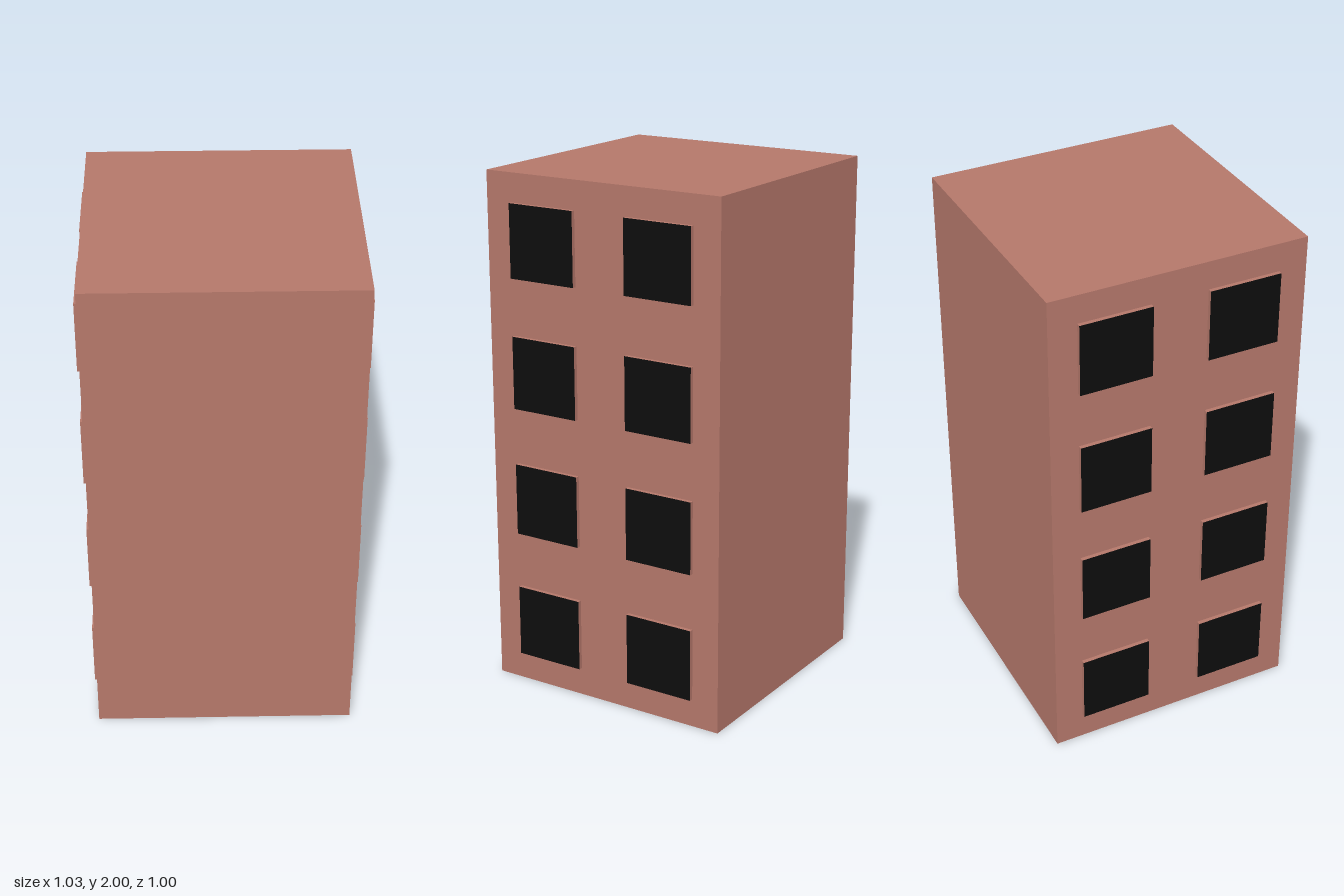
import * as THREE from 'three';

const brick = new THREE.MeshStandardMaterial({ color: 0xb4776a, side: THREE.DoubleSide });
brick.name = 'brick';
const glass = new THREE.MeshStandardMaterial({ color: 0x0d0d0d, side: THREE.DoubleSide });
glass.name = 'dark glass';

const HALF = 0.5, HEIGHT = 2, WIN = 0.14, DEPTH = 0.016;

// Window centres on a side wall: two columns, four floors
const centres = [];
for (let floor = 0; floor < 4; floor++)
  for (const u of [-0.25, 0.25]) centres.push([u, 0.25 + floor * 0.5]);

function rectangle(path, x0, y0, x1, y1) {
  path.moveTo(x0, y0).lineTo(x1, y0).lineTo(x1, y1).lineTo(x0, y1).closePath();
  return path;
}

function addMesh(parent, name, geometry, material, x, y, z) {
  const mesh = new THREE.Mesh(geometry, material);
  mesh.name = name;
  mesh.position.set(x, y, z);
  parent.add(mesh);
  return mesh;
}

// Side wall with openings, built facing +z
function sideWall(name) {
  const side = new THREE.Group();
  side.name = name;

  const shape = rectangle(new THREE.Shape(), -HALF, 0, HALF, HEIGHT);
  for (const [u, y] of centres)
    shape.holes.push(rectangle(new THREE.Path(), u - WIN, y - WIN, u + WIN, y + WIN));
  addMesh(side, 'windowWall', new THREE.ShapeGeometry(shape), brick, 0, 0, HALF);

  // Square open sleeve that carries each pane out from the wall
  const tube = new THREE.CylinderGeometry(WIN * Math.SQRT2, WIN * Math.SQRT2, DEPTH, 4, 1, true);
  tube.rotateY(Math.PI / 4).rotateX(Math.PI / 2);
  const sleeve = tube.toNonIndexed();
  sleeve.computeVertexNormals();
  const pane = new THREE.PlaneGeometry(WIN * 2, WIN * 2);

  for (const [u, y] of centres) {
    addMesh(side, 'windowFrame', sleeve, brick, u, y, HALF + DEPTH / 2);
    addMesh(side, 'windowPane', pane, glass, u, y, HALF + DEPTH);
  }
  return side;
}

export function createModel() {
  const building = new THREE.Group();
  building.name = 'building';

  // Blank front and back walls
  const wall = new THREE.PlaneGeometry(HALF * 2, HEIGHT);
  addMesh(building, 'frontWall', wall, brick, 0, HEIGHT / 2, HALF);
  addMesh(building, 'backWall', wall, brick, 0, HEIGHT / 2, -HALF).rotation.y = Math.PI;

  // Flat roof; the underside stays open
  const roof = new THREE.PlaneGeometry(HALF * 2, HALF * 2);
  addMesh(building, 'roof', roof, brick, 0, HEIGHT, 0).rotation.x = -Math.PI / 2;

  // Windowed walls on both sides
  for (const [name, s] of [['leftSide', 1], ['rightSide', -1]]) {
    const side = sideWall(name);
    side.rotation.y = s * Math.PI / 2;
    building.add(side);
  }
  return building;
}
